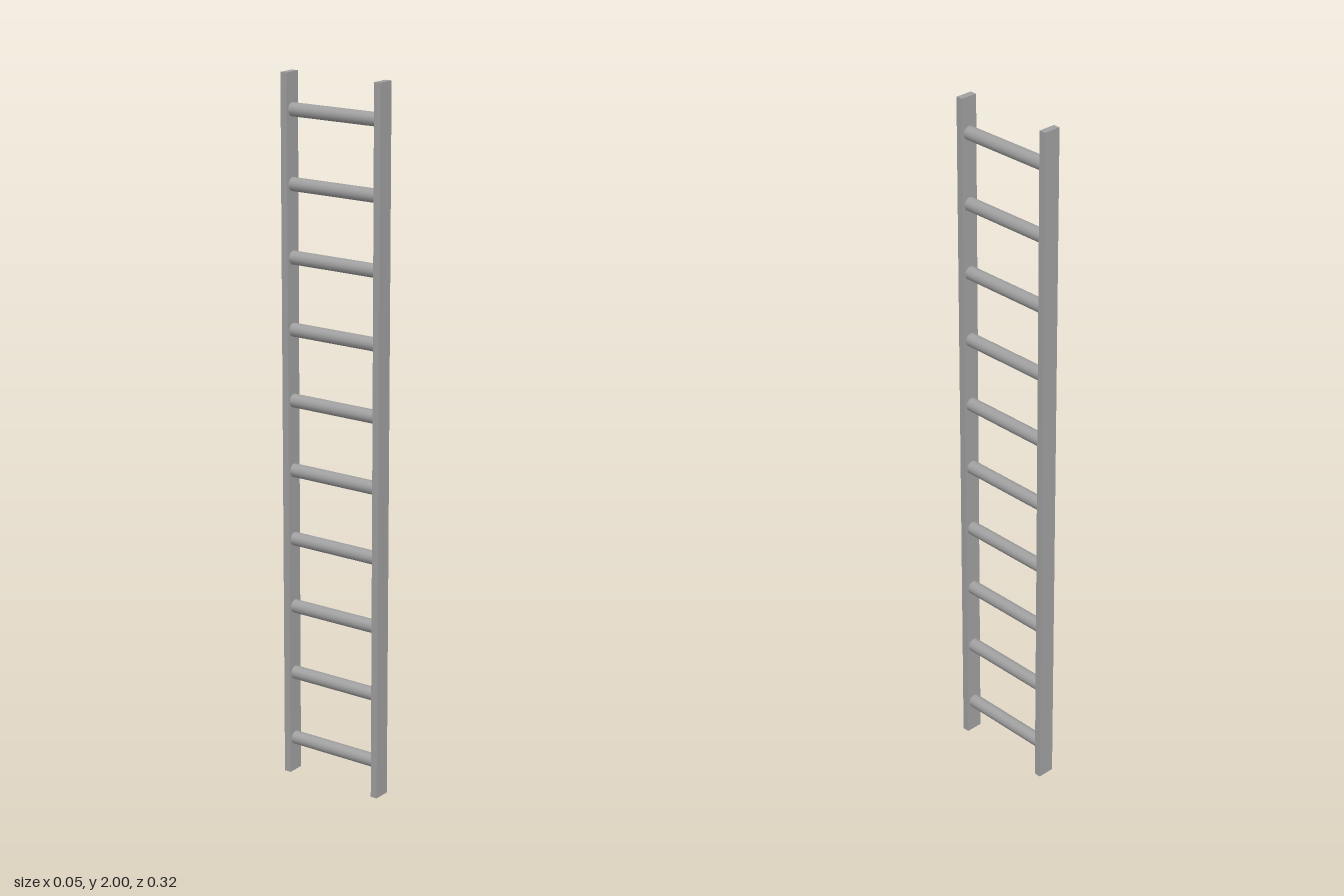
import * as THREE from 'three';

export function createModel() {
  const model = new THREE.Group();
  model.name = 'ladder';
  const grey = new THREE.MeshStandardMaterial({ color: 0xa0a0a0 });
  grey.name = 'grey metal';

  // Two upright side rails
  const railGeometry = new THREE.BoxGeometry(0.05, 2, 0.02);
  for (const side of [1, -1]) {
    const rail = new THREE.Mesh(railGeometry, grey);
    rail.name = side > 0 ? 'frontRail' : 'backRail';
    rail.position.set(0, 1, side * 0.15);
    model.add(rail);
  }

  // Ten evenly spaced round rungs between the rails
  const rungGeometry = new THREE.CylinderGeometry(0.019, 0.019, 0.29, 16);
  rungGeometry.rotateX(Math.PI / 2);
  for (let i = 0; i < 10; i++) {
    const rung = new THREE.Mesh(rungGeometry, grey);
    rung.name = `rung${i + 1}`;
    rung.position.y = 0.1 + i * 0.2;
    model.add(rung);
  }
  return model;
}
